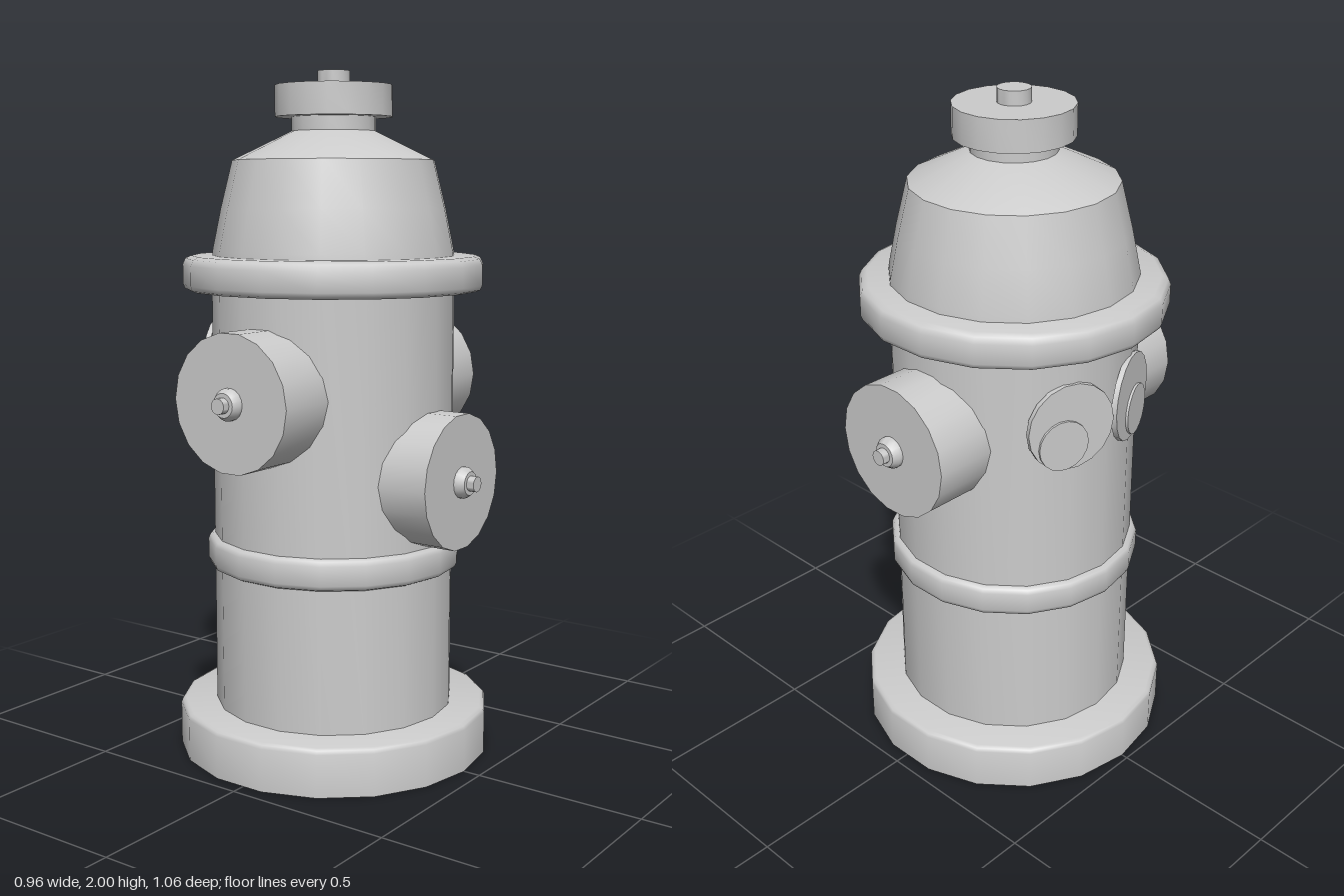
import * as THREE from 'three';
import { toCreasedNormals } from 'three/addons/utils/BufferGeometryUtils.js';

const SIDES = 18;
const grey = new THREE.MeshStandardMaterial({ color: 0xcccccc });

// Solid of revolution about y from [radius, height] pairs, with sharp corners kept
function turned(name, profile) {
  const points = profile.map(([r, y]) => new THREE.Vector2(r, y));
  const geometry = new THREE.LatheGeometry(points, SIDES, Math.PI / 2);
  const mesh = new THREE.Mesh(toCreasedNormals(geometry, 0.87), grey);
  mesh.name = name;
  return mesh;
}

// Closed disc or drum with optional bevels on its bottom and top rims
function drum(name, r, y0, y1, bottom = 0, top = 0) {
  const profile = [[0, y0]];
  if (bottom) profile.push([r - bottom, y0], [r - bottom * 0.3, y0 + bottom * 0.3], [r, y0 + bottom]);
  else profile.push([r, y0]);
  if (top) profile.push([r, y1 - top], [r - top * 0.3, y1 - top * 0.3], [r - top, y1]);
  else profile.push([r, y1]);
  profile.push([0, y1]);
  return turned(name, profile);
}

// Turns parts built along y so that they point outward at a heading (0 = front)
function outward(name, heading, y, parts) {
  const aim = new THREE.Group();
  aim.rotation.x = Math.PI / 2;
  aim.add(...parts);
  const group = new THREE.Group();
  group.name = name;
  group.rotation.y = heading;
  group.position.y = y;
  group.add(aim);
  return group;
}

// Hose outlet with a tapered nut and a small stud
function outlet(name, heading, y, reach) {
  return outward(name, heading, y, [
    drum('outletCap', 0.195, 0.2, reach),
    turned('outletNut', [
      [0, reach - 0.01], [0.045, reach - 0.01], [0.045, reach + 0.012],
      [0.034, reach + 0.028], [0, reach + 0.028],
    ]),
    drum('outletStud', 0.022, reach, reach + 0.05),
  ]);
}

// Flat eye with a lower, inward-looking pupil
function eye(name, side) {
  const pupil = drum('pupil', 0.075, 0.355, 0.37);
  pupil.position.set(side * 0.025, 0, 0.05);
  return outward(name, -Math.PI / 2 + side * 0.36, 1.155, [
    drum('eyeDisc', 0.13, 0.347, 0.363),
    pupil,
  ]);
}

export function createModel() {
  const model = new THREE.Group();
  model.name = 'hydrant';

  // Barrel and its rings
  model.add(
    drum('base', 0.465, 0, 0.14, 0, 0.015),
    drum('barrel', 0.356, 0.1, 1.42),
    drum('middleRing', 0.376, 0.56, 0.652, 0.018, 0.018),
    drum('flange', 0.44, 1.375, 1.475, 0.018, 0.025),
  );

  // Bonnet and top nut
  model.add(
    turned('bonnet', [
      [0, 1.45], [0.356, 1.45], [0.353, 1.49], [0.328, 1.61],
      [0.294, 1.747], [0.122, 1.83], [0, 1.83],
    ]),
    drum('neck', 0.122, 1.8, 1.88),
    drum('topCap', 0.17, 1.87, 1.96),
    drum('topNut', 0.047, 1.95, 2),
  );

  // Outlets on the front, the back and the left
  model.add(
    outlet('frontOutlet', 0, 1.09, 0.48),
    outlet('backOutlet', Math.PI, 1.09, 0.48),
    outlet('sideOutlet', Math.PI / 2, 0.85, 0.445),
  );

  // Pair of eyes on the right
  model.add(eye('frontEye', 1), eye('backEye', -1));

  model.position.x = -0.016;
  const root = new THREE.Group();
  root.add(model);
  return root;
}
